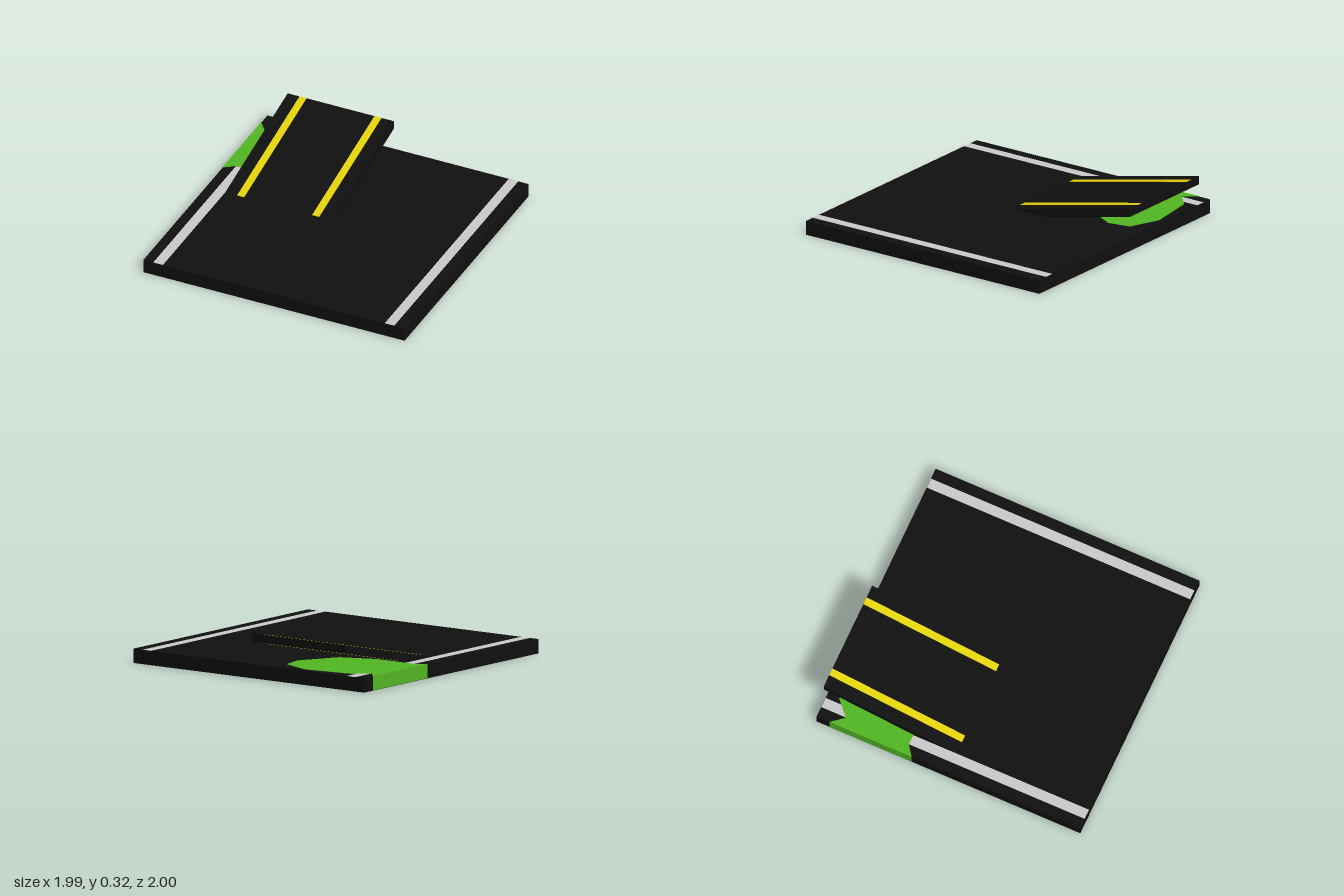
import * as THREE from 'three';

const material = (color) => new THREE.MeshStandardMaterial({ color, flatShading: true });
const asphalt = material(0x101010);
const grey = material(0xcccccc);
const yellow = material(0xe6d50e);
const green = material(0x52b823);

const HALF = 0.993, TOP = 0.1, SLOPE = 0.217;

export function createModel() {
  const model = new THREE.Group();
  const add = (name, geometry, mat) => {
    const mesh = new THREE.Mesh(geometry, mat);
    mesh.name = name;
    model.add(mesh);
  };

  // Box given by its limits on each axis
  const block = (x0, x1, y0, y1, z0, z1) =>
    new THREE.BoxGeometry(x1 - x0, y1 - y0, z1 - z0)
      .translate((x0 + x1) / 2, (y0 + y1) / 2, (z0 + z1) / 2);

  // Block sheared upward towards the back, keeping vertical ends
  const slopedBlock = (x0, x1, y0, y1, z0, z1) => {
    const geometry = block(x0, x1, y0, y1, z0, z1);
    const p = geometry.attributes.position;
    for (let i = 0; i < p.count; i++) p.setY(i, p.getY(i) - SLOPE * p.getZ(i));
    geometry.computeVertexNormals();
    return geometry;
  };

  // Road slab with an edge line along each side
  add('roadSlab', block(-HALF, HALF, 0, TOP, -0.987, 1), asphalt);
  add('rightEdgeLine', block(-0.918, -0.845, TOP - 0.01, TOP + 0.001, -0.986, 0.999), grey);
  add('leftEdgeLine', block(0.842, 0.914, TOP - 0.01, TOP + 0.001, -0.986, 0.999), grey);

  // Ramp rising to the back, with stripes showing on both faces
  add('ramp', slopedBlock(-0.845, -0.037, 0.04, TOP, -1, 0), asphalt);
  for (const [name, x] of [['rightRampStripe', -0.728], ['leftRampStripe', -0.158]]) {
    add(name, slopedBlock(x - 0.027, x + 0.027, 0.0385, TOP + 0.0015, -0.9995, 0), yellow);
  }

  // Irregular grass patch under the ramp, reaching the slab's side
  const outline = [
    [-0.995, -0.89], [-0.92, -0.8], [-0.81, -0.9], [-0.45, -0.95], [-0.23, -0.86],
    [-0.2, -0.7], [-0.35, -0.42], [-0.6, -0.325], [-0.92, -0.325], [-0.995, -0.27],
  ].map(([x, z]) => new THREE.Vector2(x, -z));
  const grass = new THREE.ExtrudeGeometry(new THREE.Shape(outline), { depth: 0.1, bevelEnabled: false });
  grass.rotateX(-Math.PI / 2).translate(0, 0.0025, 0);
  add('grassPatch', grass, green);

  return model;
}
